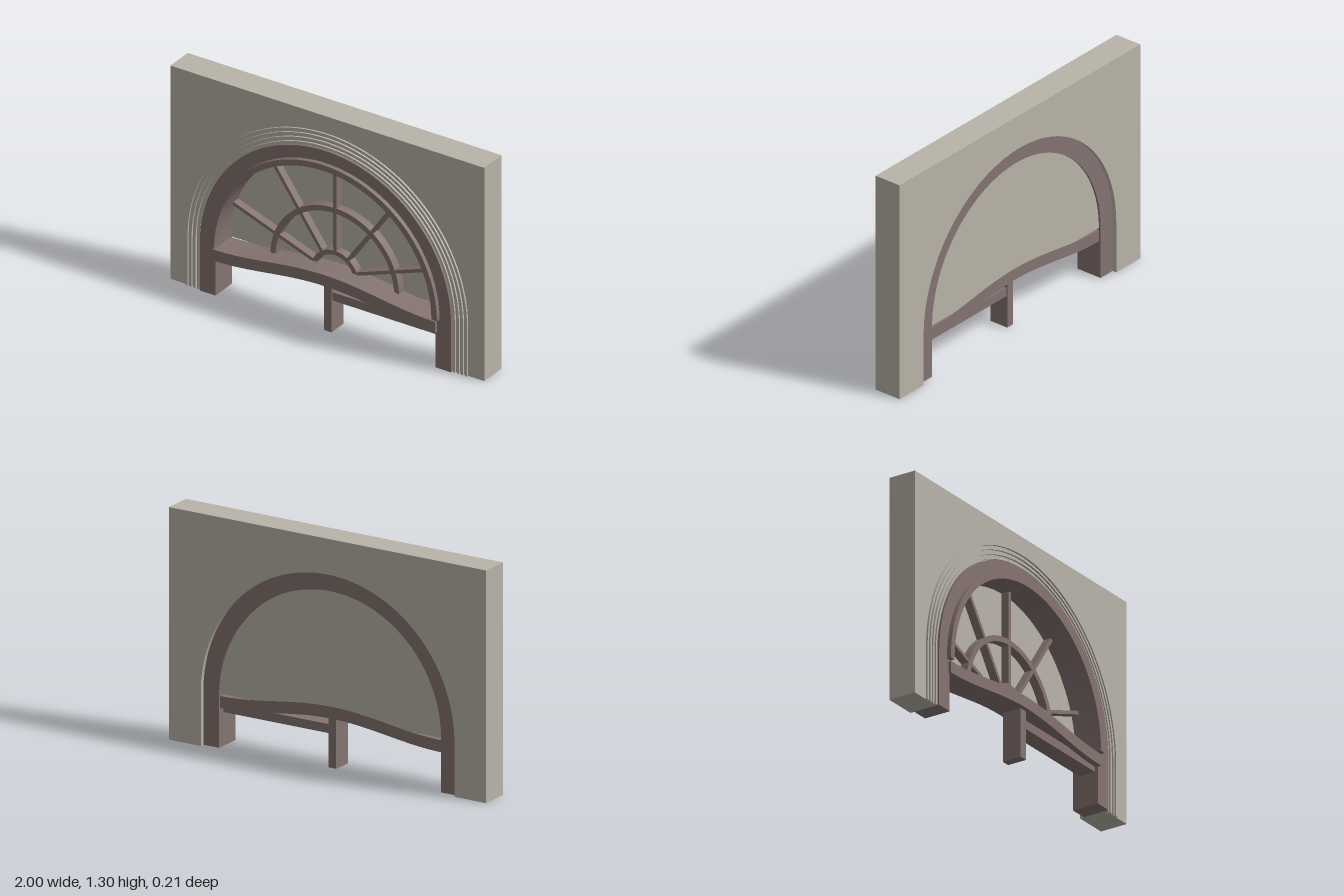
import * as THREE from 'three';

const SPRING = 0.3; // height where the arches start

// Extrude a shape between two depths.
function slab(shape, z0, z1) {
  const g = new THREE.ExtrudeGeometry(shape, { depth: z1 - z0, bevelEnabled: false, curveSegments: 48 });
  return g.translate(0, 0, z0);
}

// Half ring, with straight legs down to the given foot height.
function archShape(rOut, rIn, foot = SPRING) {
  const s = new THREE.Shape();
  s.moveTo(rOut, foot);
  s.lineTo(rOut, SPRING);
  s.absarc(0, SPRING, rOut, 0, Math.PI, false);
  s.lineTo(-rOut, foot);
  s.lineTo(-rIn, foot);
  s.lineTo(-rIn, SPRING);
  s.absarc(0, SPRING, rIn, Math.PI, 0, true);
  s.lineTo(rIn, foot);
  s.closePath();
  return s;
}

export function createModel() {
  const model = new THREE.Group();
  model.name = 'archedWindow';
  const stone = new THREE.MeshStandardMaterial({ color: 0xb9b4a9 });
  stone.name = 'stone';
  const wood = new THREE.MeshStandardMaterial({ color: 0x857471 });
  wood.name = 'wood';

  const add = (name, geometry, material) => {
    const mesh = new THREE.Mesh(geometry, material);
    mesh.name = name;
    model.add(mesh);
    return mesh;
  };
  const box = (name, x0, x1, y0, y1, z0, z1) => {
    const m = add(name, new THREE.BoxGeometry(x1 - x0, y1 - y0, z1 - z0), wood);
    m.position.set((x0 + x1) / 2, (y0 + y1) / 2, (z0 + z1) / 2);
    return m;
  };

  // Wall with arched opening
  const wall = new THREE.Shape();
  wall.moveTo(1, 0);
  wall.lineTo(1, 1.3);
  wall.lineTo(-1, 1.3);
  wall.lineTo(-1, 0);
  wall.lineTo(-0.8, 0);
  wall.lineTo(-0.8, SPRING);
  wall.absarc(0, SPRING, 0.8, Math.PI, 0, true);
  wall.lineTo(0.8, 0);
  wall.closePath();
  add('wall', slab(wall, -0.105, 0.06), stone);

  // Fine ridges around the opening
  for (let i = 0; i < 4; i++) {
    const r = 0.897 - i * 0.026;
    add('moulding' + (i + 1), slab(archShape(r, r - 0.013, 0), 0.058, 0.071), stone);
  }

  // Outer frame and raised inner arch
  add('frame', slab(archShape(0.8, 0.7, 0), -0.08, 0.079), wood);
  add('innerArch', slab(archShape(0.727, 0.692), -0.06, 0.105), wood);

  // Half-round panel
  const disc = new THREE.Shape();
  disc.absarc(0, SPRING, 0.702, 0, Math.PI, false);
  disc.closePath();
  add('panel', slab(disc, -0.068, -0.058), stone);

  // Fan of glazing bars
  add('hubRing', slab(archShape(0.15, 0.122), -0.06, -0.01), wood);
  add('middleRing', slab(archShape(0.41, 0.378), -0.06, -0.01), wood);
  for (const deg of [20, 55, 90, 125, 160]) {
    const a = THREE.MathUtils.degToRad(deg);
    const spoke = add('spoke', new THREE.BoxGeometry(0.565, 0.02, 0.048), wood);
    spoke.position.set(Math.cos(a) * 0.4175, SPRING + Math.sin(a) * 0.4175, -0.035);
    spoke.rotation.z = a;
  }

  // Wavy sill rail
  const half = 0.71;
  const wave = (x) => 0.0325 * (1 + Math.cos((Math.PI * x) / half));
  const rail = new THREE.Shape();
  const n = 32;
  for (let i = 0; i <= n; i++) {
    const x = -half + (2 * half * i) / n;
    if (i === 0) rail.moveTo(x, 0.22 + wave(x));
    else rail.lineTo(x, 0.22 + wave(x));
  }
  for (let i = n; i >= 0; i--) {
    const x = -half + (2 * half * i) / n;
    rail.lineTo(x, 0.287 + wave(x));
  }
  rail.closePath();
  add('sillRail', slab(rail, -0.07, 0.095), wood);

  // Post and cross bar under the sill
  box('post', -0.016, 0.033, 0, 0.3, -0.045, 0.07);
  box('crossBar', 0.03, 0.705, 0.19, 0.24, -0.04, 0.06);

  return model;
}
